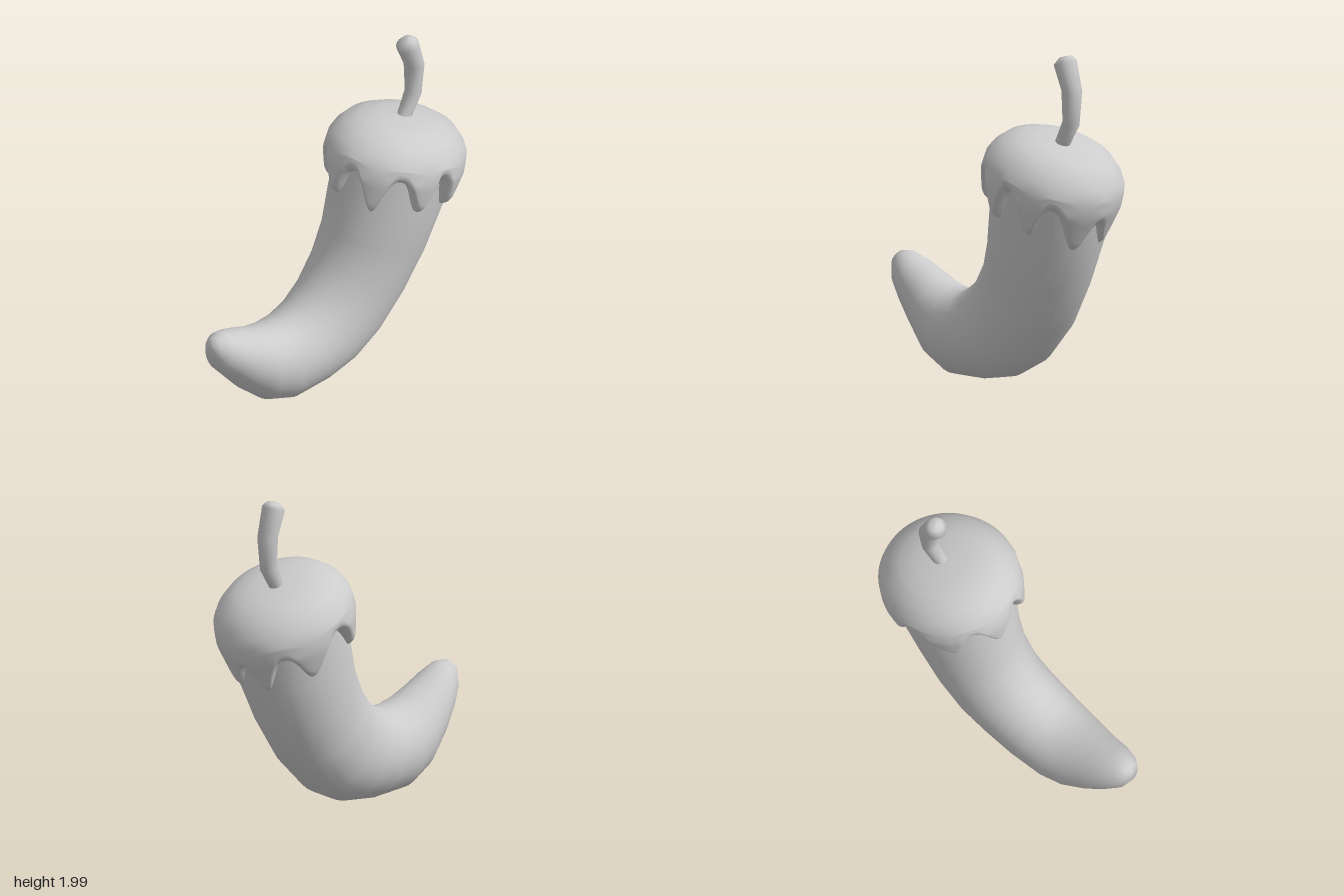
import * as THREE from 'three';

const material = new THREE.MeshStandardMaterial({ color: 0xcccccc });

// Skin a list of closed rings (arrays of Vector3, all the same length) with smooth normals.
function skin(name, rings) {
  const n = rings[0].length;
  const geometry = new THREE.BufferGeometry().setFromPoints(rings.flat());
  const index = [];
  for (let j = 0; j < rings.length - 1; j++) {
    for (let i = 0; i < n; i++) {
      const a = j * n + i, b = j * n + (i + 1) % n;
      index.push(a, b, b + n, a, b + n, a + n);
    }
  }
  geometry.setIndex(index);
  geometry.computeVertexNormals();
  const mesh = new THREE.Mesh(geometry, material);
  mesh.name = name;
  return mesh;
}

// Elliptical rings spanning two outline points: [x1, y1, x2, y2, zCentre, zRadius].
function loft(name, stations, sides) {
  return skin(name, stations.map(([x1, y1, x2, y2, zc, zr]) =>
    Array.from({ length: sides }, (_, i) => {
      const a = (i / sides) * Math.PI * 2, c = Math.cos(a) / 2;
      return new THREE.Vector3(
        (x1 + x2) / 2 + (x2 - x1) * c,
        (y1 + y2) / 2 + (y2 - y1) * c,
        zc + zr * Math.sin(a));
    })));
}

// Curved pod, from the shoulder down and round to the upturned tip.
const body = [
  [0.15, 1.44, 0.81, 1.25, 0, 0.31],
  [0.07, 1.12, 0.74, 0.93, -0.015, 0.305],
  [0.03, 0.92, 0.62, 0.65, -0.03, 0.28],
  [-0.03, 0.76, 0.48, 0.40, -0.05, 0.26],
  [-0.12, 0.62, 0.29, 0.19, -0.065, 0.248],
  [-0.22, 0.54, 0.10, 0.08, -0.07, 0.24],
  [-0.31, 0.50, -0.11, 0.03, -0.08, 0.235],
  [-0.40, 0.50, -0.36, 0.01, -0.093, 0.222],
  [-0.50, 0.52, -0.52, 0.07, -0.103, 0.20],
  [-0.62, 0.57, -0.66, 0.20, -0.112, 0.165],
  [-0.71, 0.605, -0.76, 0.32, -0.112, 0.138],
  [-0.78, 0.63, -0.845, 0.42, -0.11, 0.10],
  [-0.84, 0.62, -0.88, 0.52, -0.11, 0.055],
  [-0.867, 0.575, -0.867, 0.575, -0.11, 0],
];

// Bent stem, from the cap upward.
const stem = [
  [0.55, 1.41, 0.47, 1.44, 0, 0.04],
  [0.585, 1.49, 0.50, 1.52, 0, 0.04],
  [0.65, 1.60, 0.56, 1.64, 0, 0.048],
  [0.67, 1.80, 0.555, 1.81, 0, 0.058],
  [0.62, 1.98, 0.50, 1.94, 0, 0.067],
  [0.60, 2.00, 0.53, 1.985, 0, 0.038],
  [0.565, 1.998, 0.565, 1.998, 0, 0],
];

// Cap profile [radius, height] in the cap's tilted frame.
const profile = [
  [0, 0.265], [0.15, 0.262], [0.25, 0.24], [0.33, 0.2], [0.385, 0.14],
  [0.41, 0.09], [0.42, 0], [0.4, -0.1], [0.385, -0.2], [0.38, -0.3],
];
// Lower edge of the icing: alternating arch and drip [degrees, height].
const edge = [
  [0, -0.075], [17, -0.24], [48, -0.005], [63, -0.19], [90, 0.02], [103, -0.19],
  [129, 0], [150, -0.21], [172, 0], [195, -0.19], [216, 0], [238, -0.2],
  [268, 0.01], [298, -0.19], [321, -0.02], [343, -0.23], [360, -0.075],
];

function radiusAt(y) {
  const k = Math.max(1, profile.findIndex(p => p[1] <= y));
  const [r0, y0] = profile[k - 1], [r1, y1] = profile[k];
  return THREE.MathUtils.mapLinear(y, y0, y1, r0, r1);
}

function edgeAt(deg) {
  const k = Math.max(1, edge.findIndex(p => p[0] >= deg));
  const [d0, y0] = edge[k - 1], [d1, y1] = edge[k];
  const s = (1 - Math.cos(Math.PI * (deg - d0) / (d1 - d0))) / 2;
  // narrow the drips and widen the arches
  const drip = Math.pow(k % 2 ? s : 1 - s, 1.35);
  return k % 2 ? y0 + (y1 - y0) * drip : y1 + (y0 - y1) * drip;
}

// Dripping cap: shared dome, skirt down to the wavy edge, then a rounded lip.
function makeCap() {
  const sides = 180, skirtRows = 5, lipRows = 6, lip = 0.065, inner = 0.325;
  const ring = point => Array.from({ length: sides }, (_, i) => {
    const deg = (i / sides) * 360, a = THREE.MathUtils.degToRad(deg);
    const [r, y] = point(edgeAt(deg));
    return new THREE.Vector3(r * Math.cos(a), y, r * Math.sin(a) * 0.91);
  });
  const rings = profile.slice(0, 6).map(p => ring(() => p));
  for (let j = 1; j <= skirtRows; j++) {
    rings.push(ring(e => {
      const y = THREE.MathUtils.lerp(0.09, e + lip, j / skirtRows);
      return [radiusAt(y), y];
    }));
  }
  for (let j = 1; j <= lipRows; j++) {
    const a = (j / lipRows) * Math.PI / 2;
    rings.push(ring(e => {
      const y = e + lip * (1 - Math.sin(a));
      return [inner + (radiusAt(y) - inner) * Math.cos(a), y];
    }));
  }
  const cap = skin('drippingCap', rings);
  cap.position.set(0.455, 1.25, 0);
  cap.rotation.z = THREE.MathUtils.degToRad(-16);
  return cap;
}

export function createModel() {
  const group = new THREE.Group();
  group.name = 'chiliPepper';
  group.add(loft('pepperBody', body, 32), makeCap(), loft('stem', stem, 16));
  return group;
}
